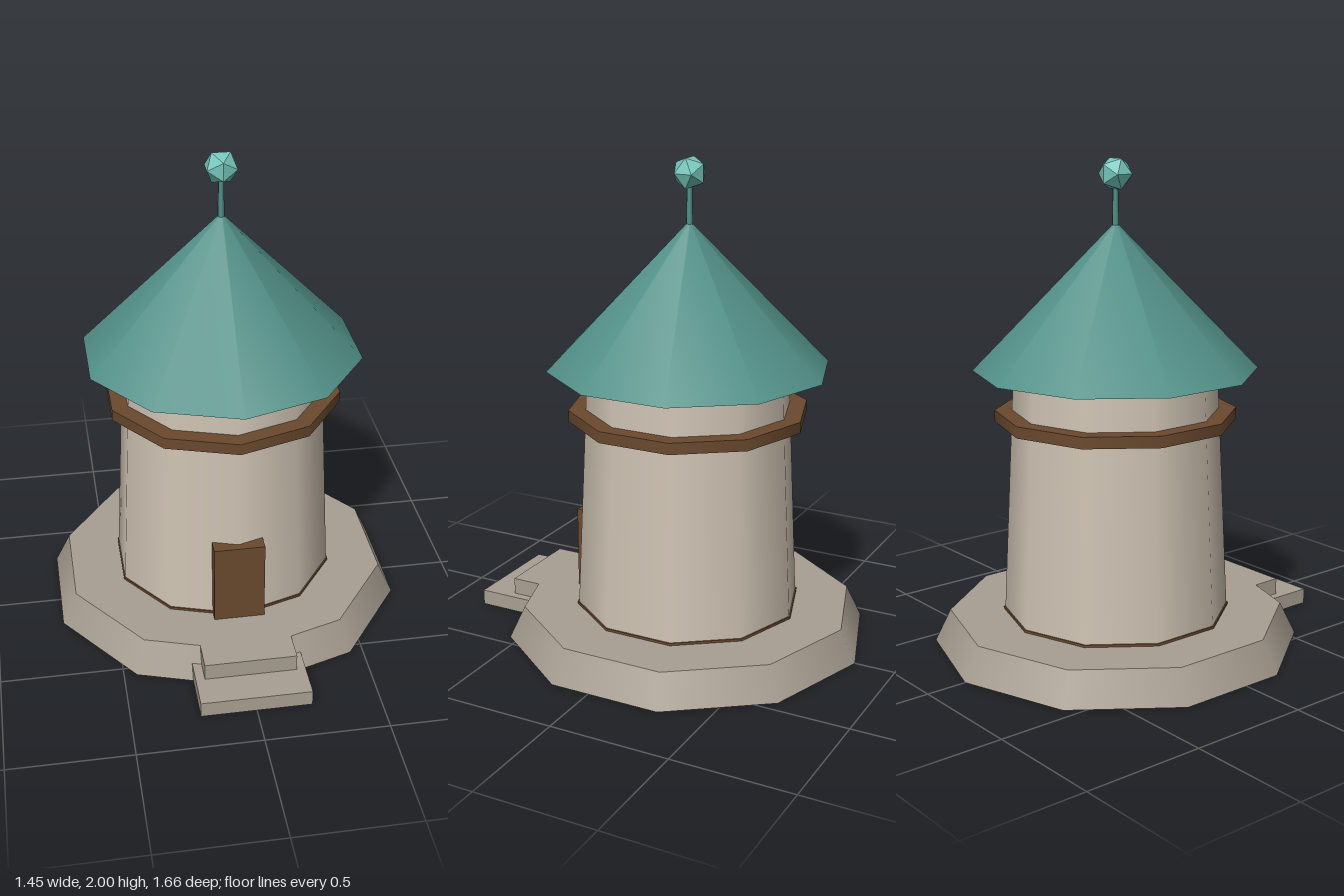
import * as THREE from 'three';

const SIDES = 10;
const CENTRE_Z = -0.07;

const paint = (color, flatShading = false) => new THREE.MeshStandardMaterial({ color, flatShading });
const stone = paint(0xa89f92);
const plaster = paint(0xcfc3b3);
const wood = paint(0x6b4a2e);
const tile = paint(0x529088);
const crystal = paint(0x74c4ba, true);

export function createModel() {
  const tower = new THREE.Group();
  tower.name = 'tower';

  function add(name, geometry, material, x, y, z) {
    const mesh = new THREE.Mesh(geometry, material);
    mesh.name = name;
    mesh.position.set(x, y, z);
    tower.add(mesh);
  }

  // Round part between two heights, on the tower axis
  function drum(name, rBottom, rTop, y0, y1, material, sides = SIDES) {
    const geometry = new THREE.CylinderGeometry(rTop, rBottom, y1 - y0, sides);
    add(name, geometry, material, 0, (y0 + y1) / 2, CENTRE_Z);
  }

  // Box centred on x, between two heights and two depths
  function block(name, width, y0, y1, z0, z1, material) {
    const geometry = new THREE.BoxGeometry(width, y1 - y0, z1 - z0);
    add(name, geometry, material, 0, (y0 + y1) / 2, (z0 + z1) / 2);
  }

  // Plinth and entrance steps
  drum('plinth', 0.76, 0.695, 0, 0.135, stone);
  block('lowerStep', 0.45, 0, 0.065, 0.5, 0.83, stone);
  block('upperStep', 0.376, 0.065, 0.135, 0.45, 0.69, stone);

  // Tapered wall with its wooden trims
  drum('wall', 0.466, 0.415, 0.135, 1.16, plaster);
  drum('footTrim', 0.471, 0.471, 0.135, 0.145, wood);
  drum('bandTrim', 0.494, 0.494, 0.943, 0.99, wood);
  block('door', 0.21, 0.135, 0.483, 0.33, 0.41, wood);

  // Roof and finial
  drum('roof', 0.58, 0.012, 1.155, 1.74, tile);
  drum('finialPole', 0.016, 0.011, 1.7, 1.9, tile, 6);
  add('finialBall', new THREE.IcosahedronGeometry(0.071, 0), crystal, 0, 1.94, CENTRE_Z);

  return tower;
}
